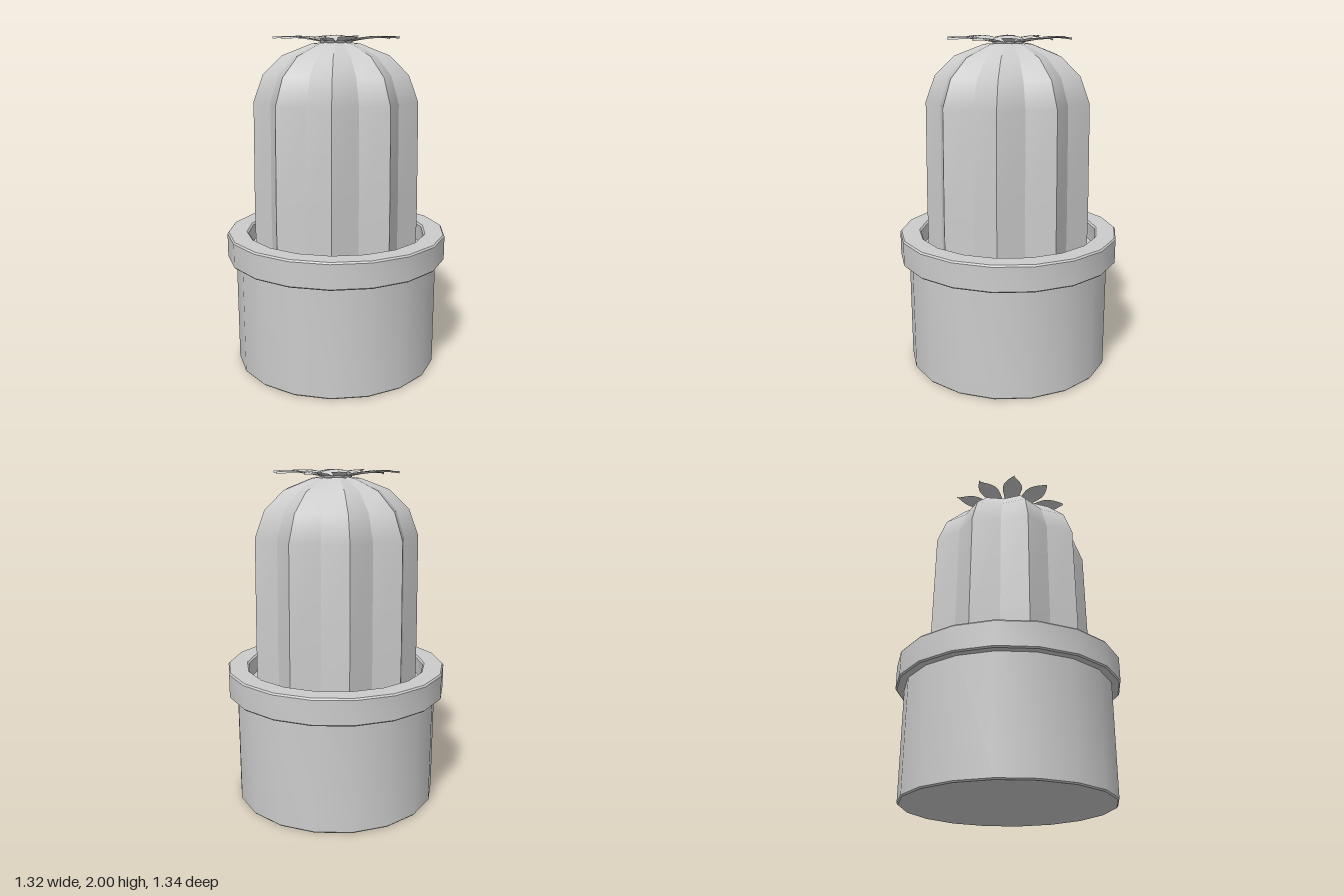
import * as THREE from 'three';
import { toCreasedNormals } from 'three/addons/utils/BufferGeometryUtils.js';

const SIDES = 18, RIBS = 9, PETALS = 10;
const grey = new THREE.MeshStandardMaterial({ color: 0xcccccc });
const greyDouble = new THREE.MeshStandardMaterial({ color: 0xcccccc, side: THREE.DoubleSide });

function part(name, geometry, parent, material = grey) {
  const mesh = new THREE.Mesh(geometry, material);
  mesh.name = name;
  parent.add(mesh);
  return mesh;
}

// Faceted ring with smooth sides and crisp rims, profile from bottom to top
function lathe(profile) {
  const points = profile.map(([r, y]) => new THREE.Vector2(r, y));
  return toCreasedNormals(new THREE.LatheGeometry(points, SIDES), Math.PI / 6);
}

// Nine-pointed body: each face between ridge and valley is its own strip,
// smooth along its height and sharp against its neighbours
function cactusGeometry() {
  const profile = [[0.497, 0.7], [0.497, 1.0], [0.488, 1.62], [0.43, 1.775],
    [0.315, 1.885], [0.145, 1.95], [0.0, 1.968]];
  const positions = [], indices = [];
  const strips = RIBS * 2;
  for (let s = 0; s < strips; s++) {
    const start = positions.length / 3;
    for (const [r, y] of profile) {
      for (const k of [s, s + 1]) {
        const a = (k / strips) * Math.PI * 2;
        const radius = r * (k % 2 ? 0.86 : 1);
        positions.push(Math.sin(a) * radius, y, Math.cos(a) * radius);
      }
    }
    for (let j = 0; j < profile.length - 1; j++) {
      const a = start + j * 2, b = a + 1, c = a + 2, d = a + 3;
      indices.push(a, b, d);
      if (j < profile.length - 2) indices.push(a, d, c);
    }
  }
  const geometry = new THREE.BufferGeometry();
  geometry.setAttribute('position', new THREE.Float32BufferAttribute(positions, 3));
  geometry.setIndex(indices);
  geometry.computeVertexNormals();
  return geometry;
}

// Pointed petal along +x: widens, arches upward, droops at the tip
function petalGeometry() {
  const geometry = new THREE.PlaneGeometry(1, 1, 10, 4);
  const p = geometry.attributes.position;
  const width = new THREE.SplineCurve([
    new THREE.Vector2(0, 0.02), new THREE.Vector2(0.3, 0.04), new THREE.Vector2(0.6, 0.062),
    new THREE.Vector2(0.8, 0.045), new THREE.Vector2(1, 0)]);
  for (let i = 0; i < p.count; i++) {
    const t = p.getX(i) + 0.5, v = -p.getY(i) * 2;
    const w = width.getPoint(t);
    const x = 0.05 + 0.32 * w.x;
    const arch = 1.957 + 0.035 * Math.sin(Math.min(1, w.x * 0.88) * Math.PI * 0.75);
    p.setXYZ(i, x, arch + 0.006 * v * w.x - 0.004 * v * v, v * Math.max(0, w.y));
  }
  geometry.computeVertexNormals();
  return geometry;
}

export function createModel() {
  const model = new THREE.Group();
  model.name = 'pottedCactus';

  // Pot
  const pot = new THREE.Group();
  pot.name = 'pot';
  model.add(pot);
  part('potBody', lathe([[0, 0], [0.61, 0], [0.617, 0.008], [0.617, 0.68]]), pot);
  part('potRim', lathe([[0.54, 0.67], [0.66, 0.67], [0.668, 0.678], [0.668, 0.82],
    [0.66, 0.83], [0.55, 0.83], [0.54, 0.82], [0.54, 0.67]]), pot);
  part('soil', lathe([[0.545, 0.72], [0, 0.72]]), pot);

  // Ribbed body
  part('cactusBody', cactusGeometry(), model);

  // Flower on top
  const flower = new THREE.Group();
  flower.name = 'flower';
  model.add(flower);
  const petal = petalGeometry();
  for (let i = 0; i < PETALS; i++) {
    const mesh = part('petal', petal, flower, greyDouble);
    mesh.rotation.y = -(i / PETALS) * Math.PI * 2 - 0.03;
  }
  const centre = part('flowerCentre', new THREE.SphereGeometry(0.097, 24, 12), flower);
  centre.scale.y = 0.35;
  centre.position.y = 1.966;

  return model;
}
